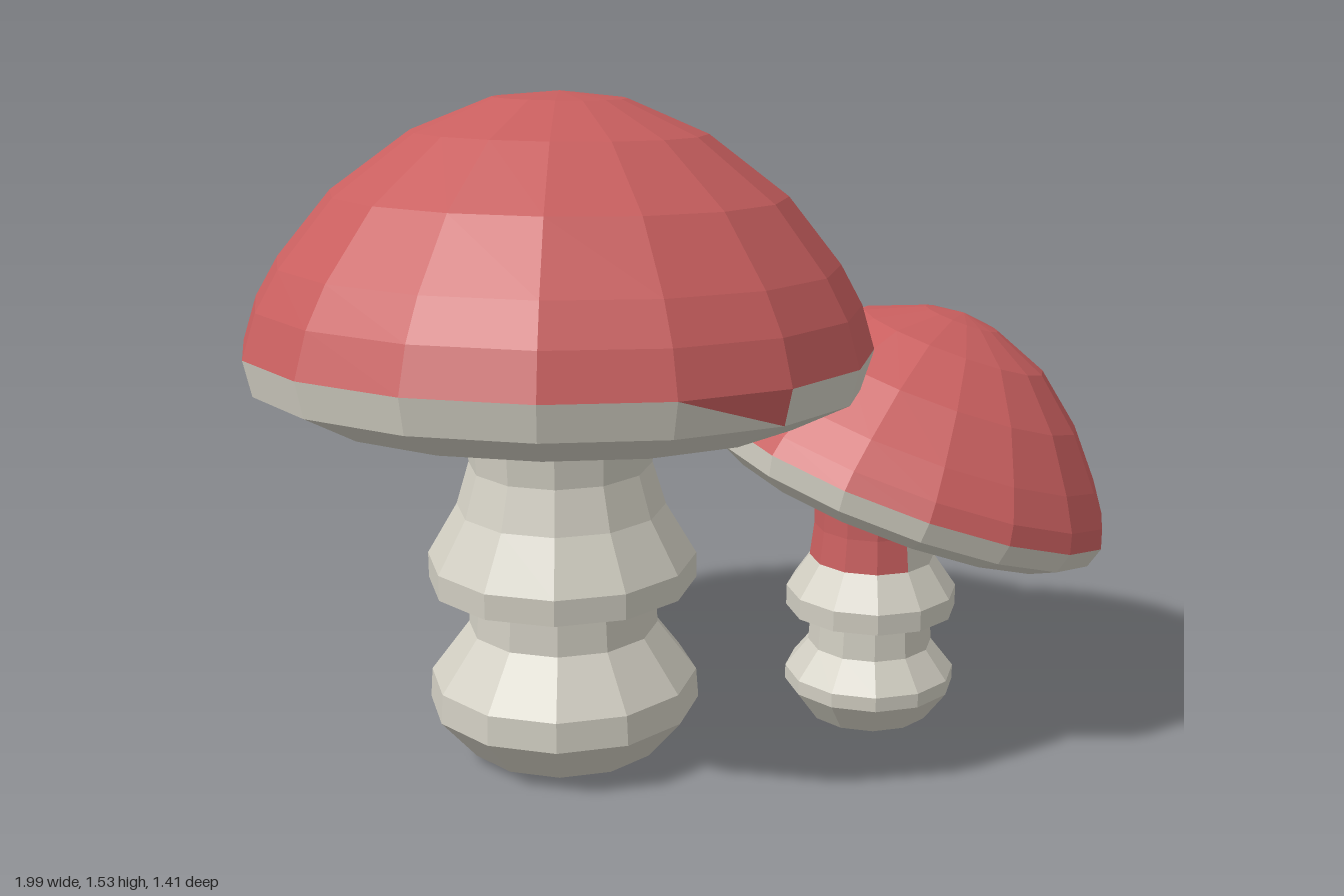
import * as THREE from 'three';

const red = new THREE.MeshStandardMaterial({ color: 0xc95f5f });
red.name = 'cap red';
const cream = new THREE.MeshStandardMaterial({ color: 0xd0cdc1 });
cream.name = 'stem cream';

// Faceted turned form; isRed(ring, segment, triangle) picks the colour of each face.
function turned(name, profile, sides, isRed) {
  const lathe = new THREE.LatheGeometry(profile.map(([r, y]) => new THREE.Vector2(r, y)), sides);
  const rings = profile.length - 1;
  const geo = lathe.toNonIndexed();
  geo.clearGroups();
  const triangles = geo.attributes.position.count / 3;
  for (let t = 0; t < triangles; t++) {
    const ring = Math.floor(t / 2) % rings;
    const segment = Math.floor(t / (2 * rings));
    geo.addGroup(t * 3, 3, isRed(ring, segment, t % 2) ? 0 : 1);
  }
  geo.computeVertexNormals();
  const mesh = new THREE.Mesh(geo, [red, cream]);
  mesh.name = name;
  return mesh;
}

export function createModel() {
  const model = new THREE.Group();
  model.name = 'mushrooms';

  // Large mushroom: ringed stem
  const largeStem = turned('largeStem', [
    [0, 0.02], [0.23, 0.02], [0.315, 0.12], [0.31, 0.19], [0.22, 0.31], [0.215, 0.385],
    [0.31, 0.42], [0.31, 0.48], [0.24, 0.6], [0.21, 0.7], [0.22, 0.9],
  ], 12, () => false);
  largeStem.position.set(-0.285, 0, 0.02);

  // Large cap: cream underside and rim, red dome, one stray red rim face
  const largeCap = turned('largeCap', [
    [0, -0.12], [0.3, -0.13], [0.56, -0.135], [0.69, -0.07], [0.71, 0.01],
    [0.68, 0.11], [0.63, 0.2], [0.51, 0.35], [0.33, 0.485], [0.15, 0.56], [0, 0.575],
  ], 16, (ring, seg, tri) => ring > 3 || (ring === 3 && seg === 1 && tri === 1));
  largeCap.position.set(-0.285, 0.96, 0);
  largeCap.rotation.set(-0.085, 0, -0.015);

  // Small mushroom: ringed stem with red neck faces
  const smallStem = turned('smallStem', [
    [0, 0], [0.15, 0], [0.205, 0.075], [0.205, 0.11], [0.15, 0.18], [0.145, 0.25],
    [0.205, 0.27], [0.205, 0.32], [0.15, 0.4], [0.14, 0.48], [0.14, 0.64],
  ], 12, (ring, seg) => ring >= 8 && (seg === 0 || seg > 4 || (seg > 2 && ring === 8)));
  smallStem.position.set(0.45, 0, -0.19);

  // Small tilted cap with a few mismatched faces along the rim
  const smallCap = turned('smallCap', [
    [0, -0.05], [0.2, -0.065], [0.42, -0.08], [0.485, -0.045], [0.5, 0.005],
    [0.485, 0.05], [0.437, 0.12], [0.345, 0.23], [0.225, 0.33], [0.09, 0.385], [0, 0.4],
  ], 16, (ring, seg, tri) => {
    if (ring === 3) return seg === 12 && tri === 1;
    if (ring === 4 || ring === 5) return !(seg === 5 && tri === 0);
    return ring > 5;
  });
  smallCap.position.set(0.525, 0.613, -0.2);
  smallCap.rotation.set(-0.06, 0, -0.33);

  model.add(largeStem, largeCap, smallStem, smallCap);
  return model;
}
